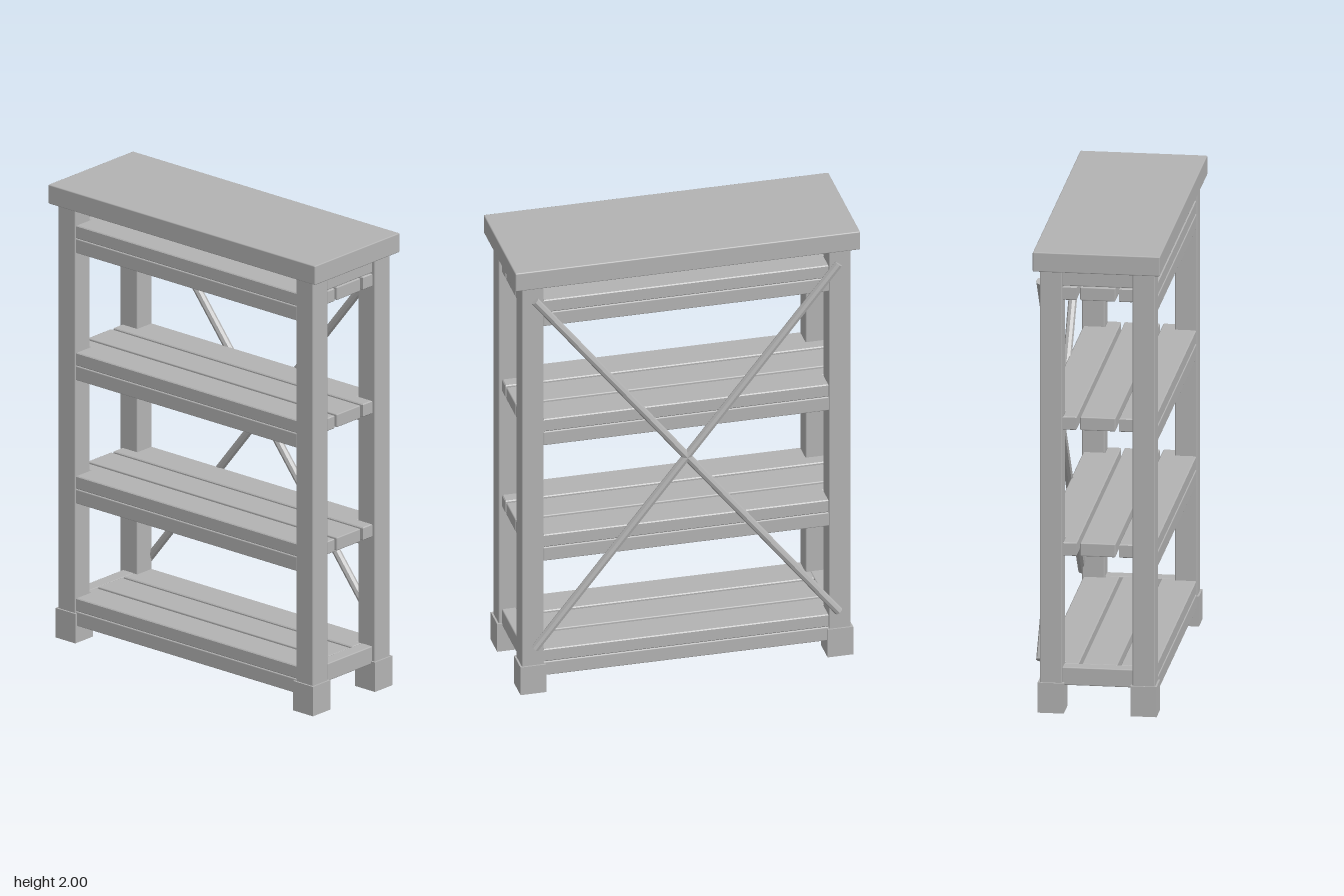
import * as THREE from 'three';
import { RoundedBoxGeometry } from 'three/addons/geometries/RoundedBoxGeometry.js';

export function createModel() {
  const model = new THREE.Group();
  model.name = 'shelfUnit';
  const wood = new THREE.MeshStandardMaterial({ color: 0xb3b3b3 });
  wood.name = 'greyWood';

  const add = (name, geometry, parent = model) => {
    const mesh = new THREE.Mesh(geometry, wood);
    mesh.name = name;
    parent.add(mesh);
    return mesh;
  };
  // Softly bevelled board given by its extents
  const board = (name, [x0, x1], [y0, y1], [z0, z1], parent = model, r = 0.005) => {
    const geo = r
      ? new RoundedBoxGeometry(x1 - x0, y1 - y0, z1 - z0, 1, r)
      : new THREE.BoxGeometry(x1 - x0, y1 - y0, z1 - z0);
    const mesh = add(name, geo, parent);
    mesh.position.set((x0 + x1) / 2, (y0 + y1) / 2, (z0 + z1) / 2);
    return mesh;
  };

  // Outer plank, cut out at both ends to fit between and around the posts
  const notchedPlank = (half, thickness) => {
    const b = 0.004;
    const inner = 0.61 - b, outer = half - b;
    const z0 = 0.088 + b, zNotch = 0.147 - b, z1 = 0.236 - b;
    const shape = new THREE.Shape([
      [-outer, z0], [outer, z0], [outer, zNotch], [inner, zNotch],
      [inner, z1], [-inner, z1], [-inner, zNotch], [-outer, zNotch],
    ].map(([x, z]) => new THREE.Vector2(x, z)));
    const geo = new THREE.ExtrudeGeometry(shape, {
      depth: thickness - 2 * b, bevelEnabled: true,
      bevelSize: b, bevelThickness: b, bevelSegments: 1,
    });
    geo.rotateX(Math.PI / 2);
    geo.translate(0, -b, 0);
    return geo;
  };

  // Top board
  board('topBoard', [-0.738, 0.738], [1.915, 2], [-0.266, 0.266]);

  // Posts with square feet
  for (const sx of [-1, 1]) {
    for (const sz of [-1, 1]) {
      const leg = new THREE.Group();
      leg.name = 'leg';
      leg.position.set(sx * 0.657, 0, sz * 0.194);
      model.add(leg);
      board('post', [-0.047, 0.047], [0.1, 1.918], [-0.047, 0.047], leg);
      board('foot', [-0.055, 0.055], [0, 0.13], [-0.055, 0.055], leg, 0);
    }
  }

  // Short side rails at the top and bottom
  for (const s of [-1, 1]) {
    const x = s > 0 ? [0.63, 0.69] : [-0.69, -0.63];
    board('topSideRail', x, [1.845, 1.918], [-0.15, 0.15]);
    board('bottomSideRail', x, [0.117, 0.195], [-0.15, 0.15]);
  }

  // Shelves: three planks resting on a front and a back rail
  for (const [top, half] of [[0.195, 0.632], [0.735, 0.69], [1.28, 0.69], [1.842, 0.69]]) {
    const shelf = new THREE.Group();
    shelf.name = 'shelf';
    shelf.position.y = top;
    model.add(shelf);
    const t = 0.058;
    board('middlePlank', [-half, half], [-t, 0], [-0.074, 0.074], shelf);
    add('frontPlank', notchedPlank(half, t), shelf);
    add('backPlank', notchedPlank(half, t), shelf).rotation.y = Math.PI;
    for (const z of [[0.178, 0.238], [-0.238, -0.178]]) {
      board('shelfRail', [-0.612, 0.612], [-0.122, -t], z, shelf);
    }
  }

  // Crossed rods on the back
  const length = Math.hypot(1.3, 1.64);
  for (const s of [-1, 1]) {
    const geo = new THREE.CylinderGeometry(0.018, 0.018, length, 8).toNonIndexed();
    geo.computeVertexNormals();
    const brace = add('backBrace', geo);
    brace.position.set(0, 1.03, -0.245);
    brace.rotation.z = s * Math.atan2(1.3, 1.64);
  }
  return model;
}
